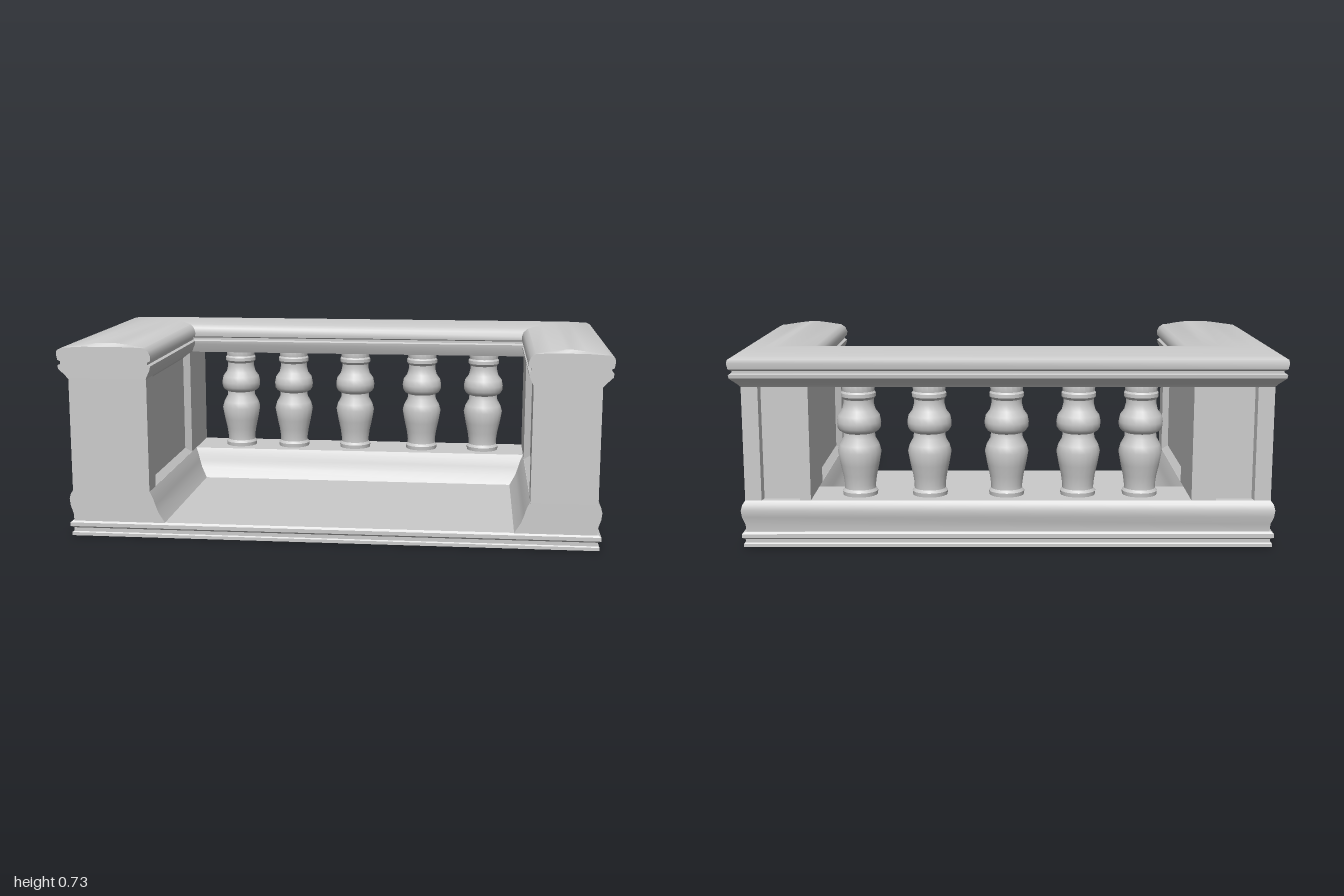
import * as THREE from 'three';
import { toCreasedNormals } from 'three/addons/utils/BufferGeometryUtils.js';

const stone = new THREE.MeshStandardMaterial({ color: 0xcccccc });

function part(name, geometry, parent) {
  const mesh = new THREE.Mesh(geometry, stone);
  mesh.name = name;
  parent.add(mesh);
  return mesh;
}

const shapeOf = (pts) => new THREE.Shape(pts.map(([x, y]) => new THREE.Vector2(x, y)));
const extrude = (pts, depth) =>
  new THREE.ExtrudeGeometry(shapeOf(pts), { depth, bevelEnabled: false });

// Inner wall faces of the two sides (they differ slightly)
const INNER = { [-1]: 0.67, [1]: 0.72 };
const OUTER = 0.96;

// Sweeps a moulding profile round three sides with mitred corners.
// outer / inner: [offset, y] lists, outer rising and inner falling.
function moulding(name, outer, inner, innerBackZ, frontZ, roundTop, parent) {
  const profile = [
    ...outer.map(([d, y]) => ({ x: () => OUTER + d, z: -0.49 - d, y })),
    ...inner.map(([d, y]) => ({ x: (s) => INNER[s] - d, z: innerBackZ + d, y })),
  ];
  const front = (s, z, top) => profile.map((p) => [s * p.x(s), Math.min(p.y, top), z]);
  const corner = (s) => profile.map((p) => [s * p.x(s), p.y, p.z]);
  const rings = [
    front(-1, frontZ, roundTop), front(-1, frontZ - 0.012, 9), corner(-1),
    corner(1), front(1, frontZ - 0.012, 9), front(1, frontZ, roundTop),
  ];
  const n = profile.length;
  const index = [];
  for (let i = 0; i < rings.length - 1; i++) {
    for (let j = 0; j < n; j++) {
      const a = i * n + j, b = i * n + (j + 1) % n;
      index.push(a, b, b + n, a, b + n, a + n);
    }
  }
  const geo = new THREE.BufferGeometry();
  geo.setAttribute('position', new THREE.Float32BufferAttribute(rings.flat(2), 3));
  geo.setIndex(index);
  const group = new THREE.Group();
  group.name = name;
  parent.add(group);
  part(name + 'Sweep', toCreasedNormals(geo, 0.6), group);
  // End faces at the front
  for (const ring of [rings[0], rings[rings.length - 1]]) {
    part(name + 'End', new THREE.ShapeGeometry(shapeOf(ring)), group).position.z = frontZ;
  }
}

function sideWall(s, parent) {
  const I = INNER[s], inI = I + 0.025, inO = OUTER - 0.03;
  const wall = new THREE.Group();
  wall.name = s > 0 ? 'leftWall' : 'rightWall';
  parent.add(wall);
  // Plan outline with sunk panels on the outside, the back and the inside
  const plan = [
    [OUTER, 0.5], [OUTER, 0.41], [inO, 0.39], [inO, -0.16], [OUTER, -0.2], [OUTER, -0.49],
    [0.9, -0.49], [0.895, -0.46], [0.765, -0.46], [0.76, -0.49],
    [I, -0.49], [I, -0.2], [inI, -0.18], [inI, 0.39], [I, 0.41], [I, 0.5],
  ].map(([x, z]) => [s * x, -z]);
  const body = extrude(plan, 0.44).rotateX(-Math.PI / 2).translate(0, 0.17, 0);
  part('panelledWall', body, wall);
  // Sloping edges at the bottom and top of the panels
  for (const [face, sunk] of [[OUTER, inO], [I, inI]]) {
    for (const [edge, tip] of [[0.174, 0.195], [0.6, 0.575]]) {
      const wedge = [[face, edge], [sunk, edge], [sunk, tip]].map(([x, y]) => [s * x, y]);
      part('panelBevel', extrude(wedge, 0.6).translate(0, 0, -0.195), wall);
    }
  }
}

export function createModel() {
  const model = new THREE.Group();
  model.name = 'balcony';

  // Floor slab with a moulded edge
  const slab = [[0, 0], [0.97, 0], [0.97, 0.012], [0.963, 0.016], [0.963, 0.03],
    [0.975, 0.036], [0.975, 0.05], [0.965, 0.058], [0, 0.058]]
    .map(([r, y]) => new THREE.Vector2(r * Math.SQRT2, y));
  const slabGeo = new THREE.LatheGeometry(slab, 4, Math.PI / 4).scale(1, 1, 0.513);
  part('floorSlab', toCreasedNormals(slabGeo, 0.3), model);

  // Swelling base course below the walls and balusters
  moulding('baseCourse',
    [[0, 0.057], [0.002, 0.085], [0.012, 0.115], [0.015, 0.14], [0.01, 0.16], [0, 0.175]],
    [[0, 0.175], [0.012, 0.15], [0.02, 0.125], [0.03, 0.097], [0.055, 0.057]],
    -0.28, 0.497, 9, model);

  for (const s of [-1, 1]) sideWall(s, model);

  // Coping with a gently domed top
  moulding('coping',
    [[0, 0.595], [0.008, 0.605], [0.034, 0.63], [0.036, 0.643], [0.025, 0.648],
      [0.025, 0.657], [0.036, 0.663], [0.04, 0.685], [0.037, 0.698], [0.02, 0.707],
      [-0.06, 0.719], [-0.11, 0.725]],
    [[-0.11, 0.725], [-0.06, 0.719], [-0.005, 0.709], [0.012, 0.697], [0.02, 0.678],
      [0.018, 0.662], [0.008, 0.657], [0.008, 0.648], [0.018, 0.643], [0.016, 0.63],
      [0, 0.595]],
    -0.242, 0.508, 0.712, model);

  // Turned balusters across the back
  const turning = [[0, 0.172], [0.064, 0.172], [0.066, 0.19], [0.058, 0.2], [0.058, 0.215],
    [0.063, 0.25], [0.072, 0.29], [0.081, 0.34], [0.074, 0.365], [0.06, 0.39],
    [0.058, 0.41], [0.072, 0.418], [0.08, 0.43], [0.082, 0.45], [0.077, 0.475],
    [0.062, 0.495], [0.056, 0.52], [0.056, 0.535], [0.064, 0.545], [0.064, 0.558],
    [0.059, 0.565], [0.062, 0.587], [0.057, 0.598]]
    .map(([r, y]) => new THREE.Vector2(r, y));
  const balusterGeo = toCreasedNormals(new THREE.LatheGeometry(turning, 20), 0.6);
  for (const x of [-0.49, -0.26, 0.005, 0.29, 0.55]) {
    part('baluster', balusterGeo, model).position.set(x, 0, -0.385);
  }
  return model;
}
